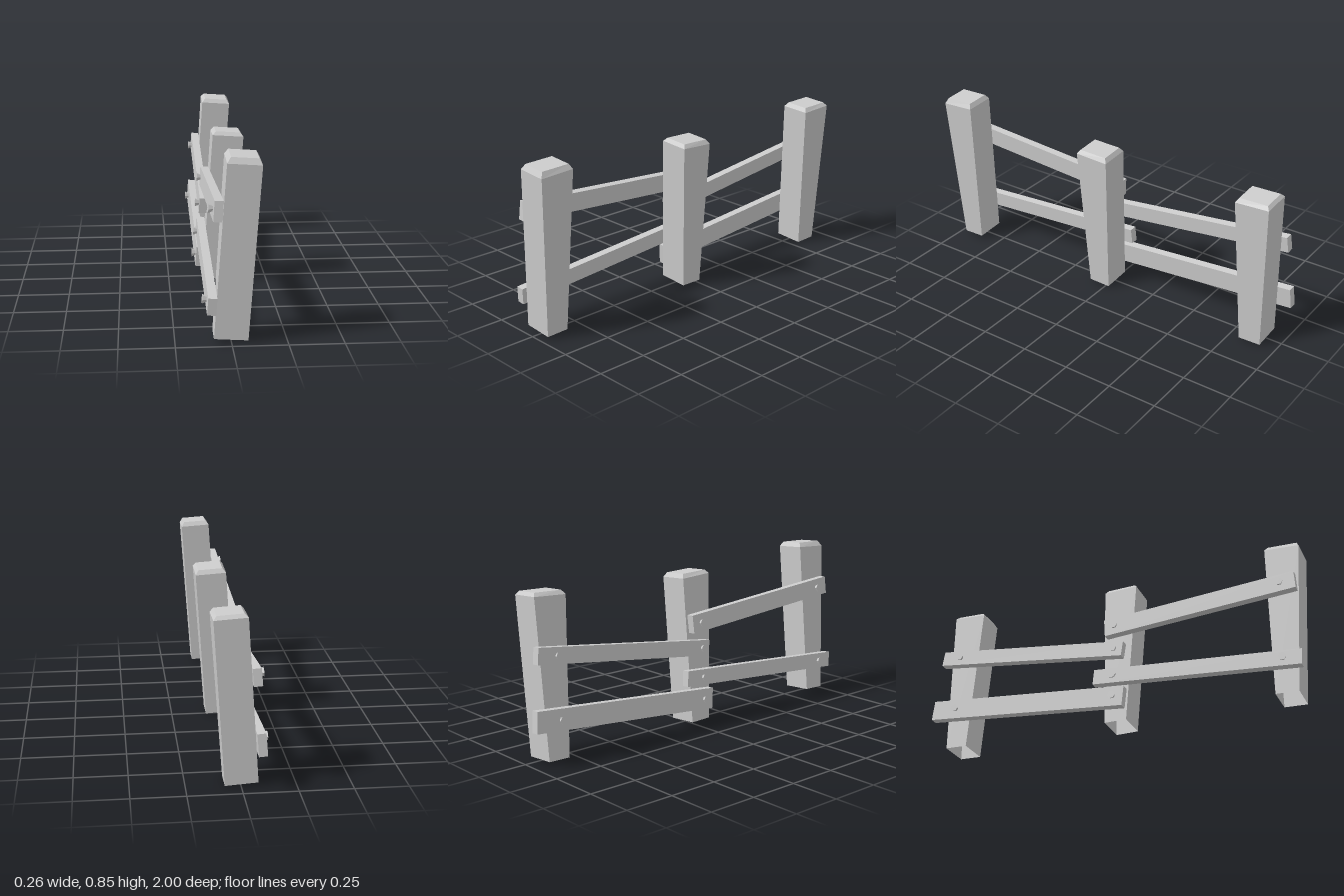
import * as THREE from 'three';

const material = new THREE.MeshStandardMaterial({ color: 0xcccccc, flatShading: true });
const openMaterial = new THREE.MeshStandardMaterial({ color: 0xcccccc, flatShading: true, side: THREE.DoubleSide });

// Four-sided post: open at the bottom, wider at the top, with a bevelled, slightly slanted cap.
function makePost({ base, shoulder, top, zBase, zTop, slant }) {
  const rings = [
    [base, 0.0765, 0.0575, zBase, slant * 0.5],
    [shoulder, 0.0765, 0.0875, zTop, slant],
    [top, 0.061, 0.074, zTop, slant * 0.6],
  ];
  const corners = [[1, 1], [1, -1], [-1, -1], [-1, 1]];
  const positions = [];
  for (const [y, hx, hz, z, s] of rings) {
    for (const [cx, cz] of corners) positions.push(cx * hx, y + s * cz * hz, z + cz * hz);
  }
  const index = [];
  for (let r = 0; r < rings.length - 1; r++) {
    for (let i = 0; i < 4; i++) {
      const a = r * 4 + i, b = r * 4 + (i + 1) % 4;
      index.push(a, b, b + 4, a, b + 4, a + 4);
    }
  }
  const t = (rings.length - 1) * 4;
  index.push(t, t + 1, t + 2, t, t + 2, t + 3);
  const indexed = new THREE.BufferGeometry();
  indexed.setAttribute('position', new THREE.Float32BufferAttribute(positions, 3));
  indexed.setIndex(index);
  const geometry = indexed.toNonIndexed();
  geometry.computeVertexNormals();
  return new THREE.Mesh(geometry, openMaterial);
}

const RAIL_X = -0.0965, RAIL_THICKNESS = 0.04;

// Rail running between two (z, y) points, with a flared six-sided bolt near each end.
function makeRail({ name, from, to, height, bolts }) {
  const group = new THREE.Group();
  group.name = name;
  const dz = from[0] - to[0], dy = from[1] - to[1];
  const plank = new THREE.Mesh(new THREE.BoxGeometry(RAIL_THICKNESS, height, Math.hypot(dz, dy)), material);
  plank.name = 'plank';
  plank.position.set(RAIL_X, (from[1] + to[1]) / 2, (from[0] + to[0]) / 2);
  plank.rotation.x = -Math.atan2(dy, dz);
  group.add(plank);

  for (const z of bolts) {
    const bolt = new THREE.Mesh(new THREE.CylinderGeometry(0.022, 0.013, 0.02, 6), material);
    bolt.name = 'bolt';
    bolt.rotation.z = Math.PI / 2;
    bolt.position.set(RAIL_X - RAIL_THICKNESS / 2 - 0.01, to[1] + dy * (z - to[0]) / dz, z);
    group.add(bolt);
  }
  return group;
}

export function createModel() {
  const model = new THREE.Group();
  model.name = 'fence';

  // The whole fence leans to one side
  const fence = new THREE.Group();
  fence.name = 'leaningFence';
  fence.rotation.z = -0.067;
  fence.position.x = -0.0035;
  model.add(fence);

  const posts = [
    { name: 'frontPost', base: 0.0195, shoulder: 0.822, top: 0.847, zBase: 0.9075, zTop: 0.9125, slant: -0.05 },
    { name: 'middlePost', base: 0.012, shoulder: 0.764, top: 0.784, zBase: 0.0375, zTop: 0.0475, slant: 0.05 },
    { name: 'backPost', base: 0.007, shoulder: 0.784, top: 0.803, zBase: -0.86, zTop: -0.8525, slant: -0.05 },
  ];
  for (const p of posts) {
    const post = makePost(p);
    post.name = p.name;
    fence.add(post);
  }

  const rails = [
    { name: 'upperFrontRail', from: [0.98, 0.602], to: [-0.02, 0.526], height: 0.093, bolts: [0.905, 0.035] },
    { name: 'upperBackRail', from: [0.08, 0.392], to: [-0.967, 0.524], height: 0.08, bolts: [0.035, -0.86] },
    { name: 'lowerFrontRail', from: [0.995, 0.176], to: [-0.072, 0.254], height: 0.08, bolts: [0.905, 0.035] },
    { name: 'lowerBackRail', from: [0.09, 0.126], to: [-0.996, 0.219], height: 0.105, bolts: [0.035, -0.86] },
  ];
  for (const r of rails) fence.add(makeRail(r));

  return model;
}
